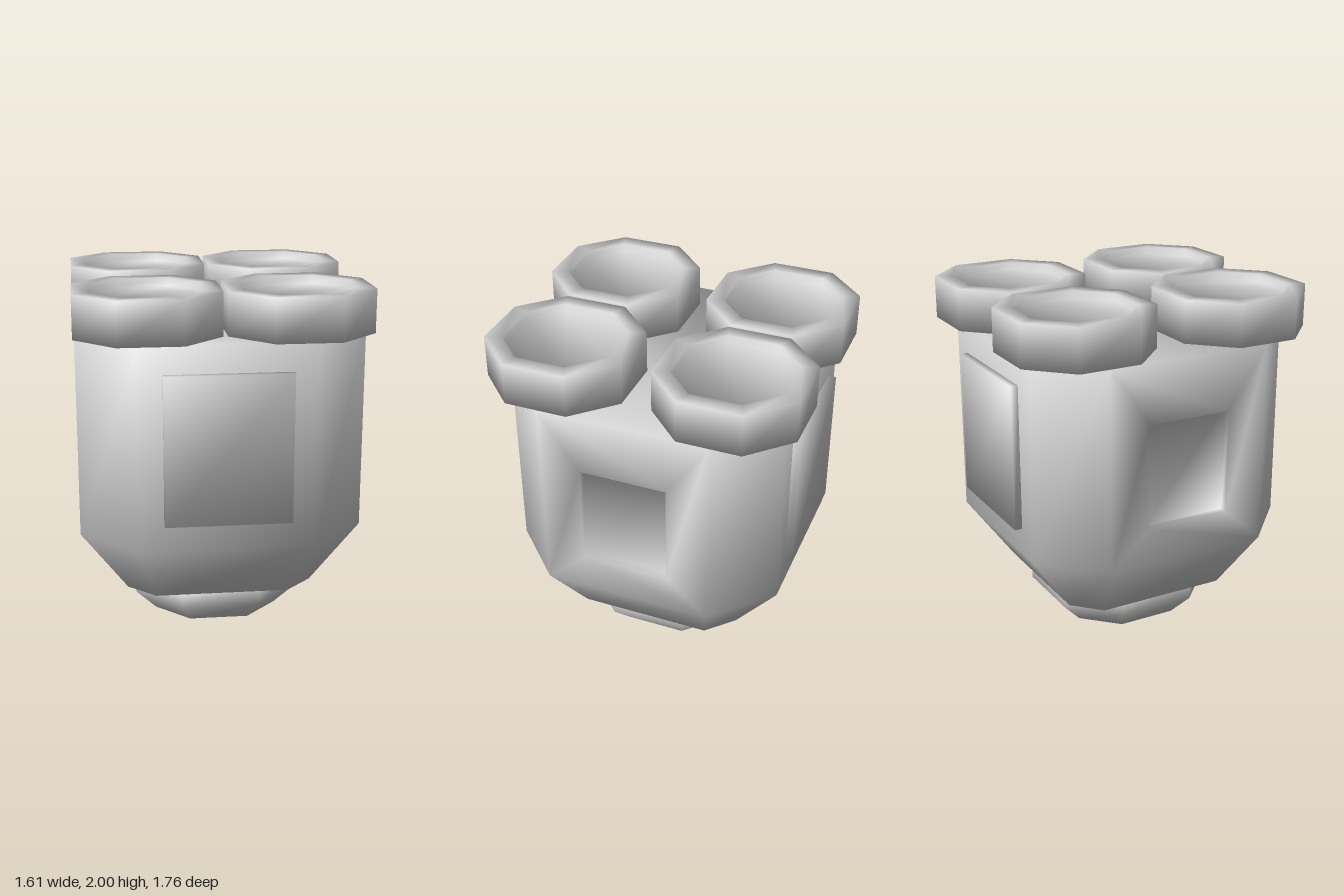
import * as THREE from 'three';
import { mergeVertices } from 'three/addons/utils/BufferGeometryUtils.js';

const material = new THREE.MeshStandardMaterial({ color: 0xcccccc });

// Smooth normals over shared corners, each face weighted by its corner angle
function smoothNormals(geometry) {
  const pos = geometry.getAttribute('position');
  const { array } = geometry.index;
  const sums = Array.from({ length: pos.count }, () => new THREE.Vector3());
  for (let t = 0; t < array.length; t += 3) {
    const ids = [array[t], array[t + 1], array[t + 2]];
    const p = ids.map((i) => new THREE.Vector3().fromBufferAttribute(pos, i));
    const normal = new THREE.Triangle(...p).getNormal(new THREE.Vector3());
    for (let k = 0; k < 3; k++) {
      const u = p[(k + 1) % 3].clone().sub(p[k]);
      const v = p[(k + 2) % 3].clone().sub(p[k]);
      sums[ids[k]].addScaledVector(normal, u.angleTo(v));
    }
  }
  const normals = sums.flatMap((n) => n.normalize().toArray());
  geometry.setAttribute('normal', new THREE.Float32BufferAttribute(normals, 3));
}

function smoothMesh(name, positions, index) {
  const geometry = new THREE.BufferGeometry();
  geometry.setAttribute('position', new THREE.Float32BufferAttribute(positions, 3));
  geometry.setIndex(index);
  smoothNormals(geometry);
  const mesh = new THREE.Mesh(geometry, material);
  mesh.name = name;
  return mesh;
}

// Lofts octagons given as [half width, half length of the flat side, y, half depth];
// skip(level, side) leaves a side open
function octagonLoft(levels, skip = () => false) {
  const positions = [], index = [];
  for (const [h, f, y, d = h] of levels) {
    for (const [x, z] of [[h, f], [h, -f], [f, -d], [-f, -d], [-h, -f], [-h, f], [-f, d], [f, d]]) {
      positions.push(x, y, z);
    }
  }
  const quad = (a, b, c, d) => index.push(a, b, c, a, c, d);
  for (let l = 0; l < levels.length - 1; l++) {
    for (let i = 0; i < 8; i++) {
      if (skip(l, i)) continue;
      const j = (i + 1) % 8;
      quad(l * 8 + i, l * 8 + j, l * 8 + 8 + j, l * 8 + 8 + i);
    }
  }
  // End caps
  const last = (levels.length - 1) * 8;
  for (const [a, b, c] of [[0, 1, 7], [1, 6, 7], [1, 5, 6], [1, 2, 5], [2, 4, 5], [2, 3, 4]]) {
    index.push(a, c, b);
    index.push(last + a, last + b, last + c);
  }
  return { positions, index, quad };
}

// Main body with a shallow rectangular recess in each side
function makeBody() {
  const { positions, index, quad } = octagonLoft(
    [[0.533, 0.38, 0.232, 0.527], [0.798, 0.48, 0.608, 0.794], [0.798, 0.48, 1.752, 0.794]],
    (level, side) => level === 1 && side % 4 === 0
  );
  for (const [side, s] of [[0, 1], [4, -1]]) {
    let outer = [8 + side, 9 + side, 17 + side, 16 + side];
    for (const x of [0.798, 0.75]) {
      const start = positions.length / 3;
      for (const [z, y] of [[0.247, 0.82], [-0.247, 0.82], [-0.247, 1.415], [0.247, 1.415]]) {
        positions.push(s * x, y, s * z);
      }
      const inner = [0, 1, 2, 3].map((k) => start + k);
      for (let k = 0; k < 4; k++) {
        const n = (k + 1) % 4;
        quad(outer[n], inner[n], inner[k], outer[k]);
      }
      outer = inner;
    }
    quad(...outer);
  }
  return smoothMesh('body', positions, index);
}

export function createModel() {
  const model = new THREE.Group();
  model.add(makeBody());

  // Foot with a chamfered lower edge
  const foot = octagonLoft([[0.36, 0.17, 0], [0.48, 0.225, 0.13], [0.48, 0.225, 0.232]]);
  model.add(smoothMesh('foot', foot.positions, foot.index));

  // Raised panels on the front and back
  const box = new THREE.BoxGeometry(0.695, 0.83, 0.05);
  box.deleteAttribute('normal');
  box.deleteAttribute('uv');
  const panelGeometry = mergeVertices(box);
  smoothNormals(panelGeometry);
  for (const s of [1, -1]) {
    const panel = new THREE.Mesh(panelGeometry, material);
    panel.name = s > 0 ? 'frontPanel' : 'backPanel';
    panel.position.set(0, 1.178, s * 0.812);
    model.add(panel);
  }

  // Four shallow cups on top
  for (const x of [-1, 1]) {
    for (const z of [-1, 1]) {
      const { positions, index } = octagonLoft([
        [0.397, 0.177, 1.76], [0.397, 0.177, 2], [0.308, 0.142, 2], [0.308, 0.142, 1.955],
      ]);
      const cup = smoothMesh((z > 0 ? 'front' : 'back') + (x > 0 ? 'Left' : 'Right') + 'Cup', positions, index);
      cup.position.set(x * 0.41, 0, z * 0.482);
      model.add(cup);
    }
  }
  return model;
}
